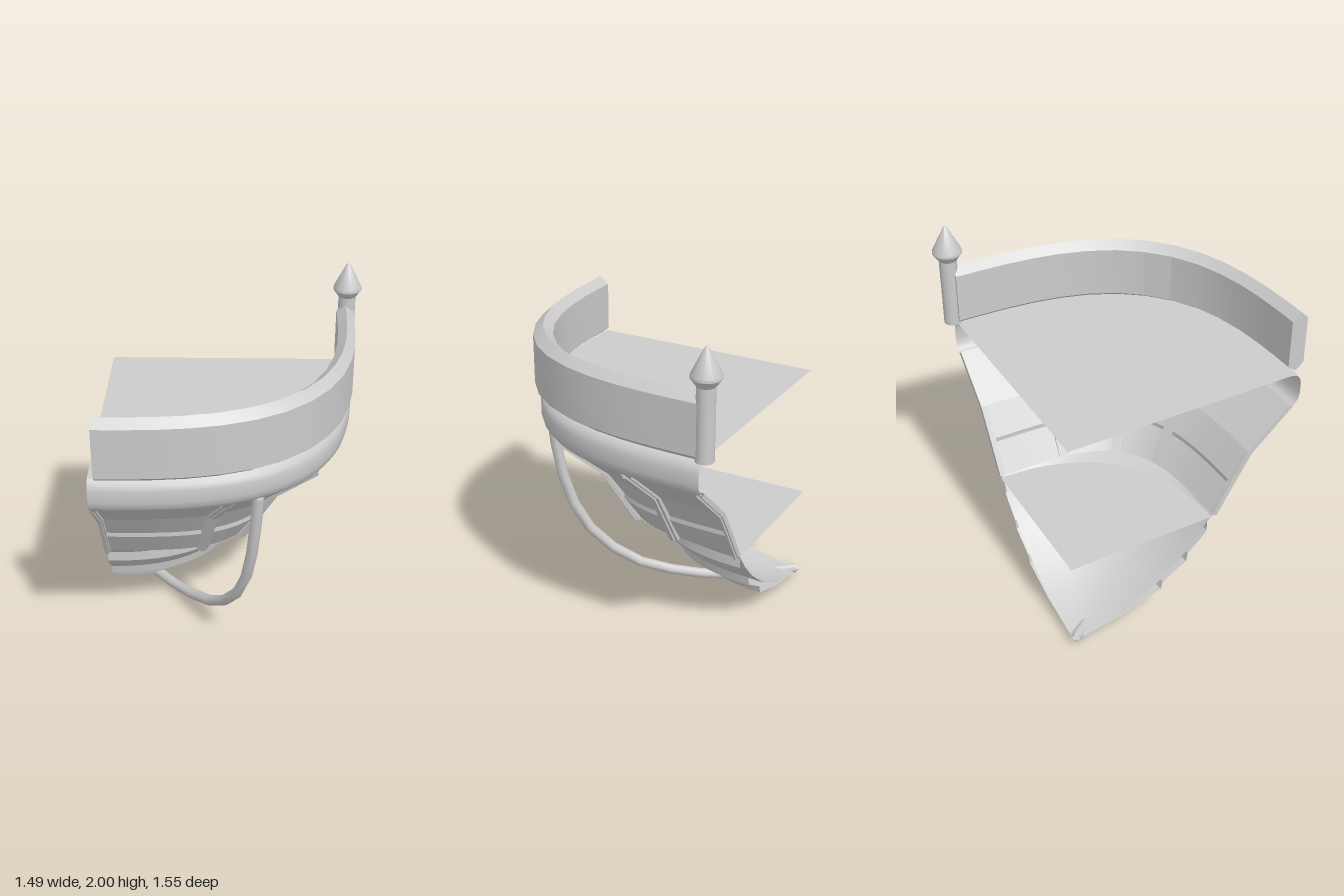
import * as THREE from 'three';
import { toCreasedNormals } from 'three/addons/utils/BufferGeometryUtils.js';

const CX = -0.73, CZ = -0.68;             // inner corner of the quarter-round bay
const material = new THREE.MeshStandardMaterial({ color: 0xcccccc, side: THREE.DoubleSide });

// How square the plan is at each height (2 = round): foot, panels, cornice and parapet
function squareness(y) {
  if (y < 0.589) return 2.3;
  return y > 1.18 ? 2.95 : THREE.MathUtils.mapLinear(y, 0.59, 1.18, 3.7, 3.05);
}

// Point of the quarter-round plan: angle a from the front axis, size r
function plan(a, r, y, kx = 1) {
  const s = Math.sin(a), c = Math.cos(a), n = squareness(y);
  const rho = r / Math.pow(Math.pow(Math.abs(s), n) + Math.pow(Math.abs(c), n), 1 / n);
  return new THREE.Vector3(CX + rho * s * kx, y, CZ + rho * c);
}

// Surface through rows of points, with optional fans closing the first and last row
function loft(rows, crease, caps = false) {
  const pos = [];
  const tri = (...p) => p.forEach(v => pos.push(v.x, v.y, v.z));
  for (let i = 0; i < rows.length - 1; i++) {
    for (let j = 0; j < rows[i].length - 1; j++) {
      const a = rows[i][j], b = rows[i][j + 1], c = rows[i + 1][j + 1], d = rows[i + 1][j];
      tri(a, b, c);
      tri(a, c, d);
    }
  }
  if (caps) {
    const s = rows[0], e = rows[rows.length - 1];
    for (let j = 1; j < s.length - 1; j++) {
      tri(s[0], s[j + 1], s[j]);
      tri(e[0], e[j], e[j + 1]);
    }
  }
  const geo = new THREE.BufferGeometry();
  geo.setAttribute('position', new THREE.Float32BufferAttribute(pos, 3));
  return toCreasedNormals(geo, crease);
}

// Sweep an [r, y] profile around the plan
function sweep(profile, { crease = 0.2, start = 0, kx = 1, caps = false, steps = 24 } = {}) {
  const rows = [];
  for (let i = 0; i <= steps; i++) {
    const a = start + (Math.PI / 2 - start) * i / steps;
    rows.push(profile.map(([r, y]) => plan(a, r, y, kx)));
  }
  return loft(rows, crease, caps);
}

export function createModel() {
  const group = new THREE.Group();
  const add = (name, geometry, parent = group) => {
    const mesh = new THREE.Mesh(geometry, material);
    mesh.name = name;
    parent.add(mesh);
    return mesh;
  };

  // Parapet wall with bevelled edges inside and out
  add('parapet', sweep([
    [1.405, 1.75], [1.455, 1.705], [1.455, 1.42], [1.41, 1.385], [1.4, 1.385], [1.355, 1.42], [1.355, 1.705], [1.405, 1.75],
  ], { start: 0.028, kx: 0.983, caps: true, steps: 14 }));

  // Floors
  add('upperFloor', sweep([[0, 1.385], [1.39, 1.385]]));
  add('lowerFloor', sweep([[0, 0.587], [0.885, 0.587]]));

  // Rounded cornice under the parapet
  add('cornice', sweep([
    [1.36, 1.385], [1.39, 1.375], [1.412, 1.35], [1.42, 1.32], [1.42, 1.25], [1.412, 1.215], [1.395, 1.19], [1.37, 1.18],
  ], { crease: 0.8 }));

  // Sloping panels in three tiers
  add('slopingPanels', sweep([[1.37, 1.18], [1.115, 0.95], [1.005, 0.785], [1.005, 0.758], [0.895, 0.59]]));

  // Stepped ribs through the panels: [top angle, bottom angle, sideways shift, width factor]
  const ribs = new THREE.Group();
  ribs.name = 'ribs';
  group.add(ribs);
  const ribPath = [[1.37, 1.18], [1.118, 0.95], [1.012, 0.775], [0.905, 0.59]];
  const ribSection = [[-0.032, -0.015], [-0.032, 0.012], [-0.014, 0.012], [-0.014, 0.022],
    [0.014, 0.022], [0.014, 0.012], [0.032, 0.012], [0.032, -0.015], [-0.032, -0.015]];
  for (const [top, bottom, shift, width] of [
    [0, 0, 0.016, 0.5], [29, 33, 0, 1], [50.5, 47.5, 0, 1], [71.5, 65, 0, 1], [90, 90, -0.016, 0.5],
  ]) {
    const rows = ribSection.map(([w, out]) => ribPath.map(([r, y]) => {
      const a = THREE.MathUtils.degToRad(THREE.MathUtils.mapLinear(y, 1.18, 0.59, top, bottom));
      const side = plan(a + 0.01, r, y).sub(plan(a - 0.01, r, y)).normalize();
      const outward = new THREE.Vector3(-side.z, -0.5, side.x);
      return plan(a, r, y).addScaledVector(side, w * width + shift).addScaledVector(outward, out);
    }));
    add('rib', loft(rows, 0.2), ribs);
  }

  // Foot: stepped mouldings over a smooth inner lining, set slightly in from the corner
  const foot = new THREE.Group();
  foot.name = 'foot';
  foot.position.set(0.01, 0, 0.013);
  group.add(foot);
  add('lowerMouldings', sweep([
    [0.885, 0.59], [0.85, 0.55], [0.85, 0.49], [0.82, 0.45], [0.73, 0.365], [0.72, 0.31],
    [0.655, 0.27], [0.57, 0.22], [0.555, 0.17], [0.33, 0.09], [0, 0.03],
  ]), foot);
  add('footLining', sweep([
    [0.87, 0.585], [0.79, 0.47], [0.68, 0.35], [0.52, 0.22], [0.3, 0.105], [0, 0.04],
  ], { crease: 0.8 }), foot);

  // Curved brace from the cornice to the foot
  const brace = new THREE.CatmullRomCurve3([
    [0.15, 1.18, 0.555], [0.135, 0.97, 0.54], [0.11, 0.73, 0.5], [0.065, 0.5, 0.425], [-0.01, 0.33, 0.32],
    [-0.12, 0.18, 0.15], [-0.28, 0.085, -0.07], [-0.47, 0.034, -0.33], [-0.715, 0.05, -0.66],
  ].map(p => new THREE.Vector3(...p)));
  add('brace', new THREE.TubeGeometry(brace, 11, 0.032, 8));
  add('braceTip', new THREE.OctahedronGeometry(0.035)).position.set(-0.712, 0.05, -0.652);
  add('braceTop', new THREE.SphereGeometry(0.032, 8, 6)).position.set(0.15, 1.175, 0.555);

  // Corner post with pointed finial
  const post = add('cornerPost', new THREE.CylinderGeometry(0.05, 0.05, 0.41, 16));
  post.position.set(0.662, 1.595, -0.697);
  const finialProfile = [[0, 1.785], [0.045, 1.785], [0.082, 1.835], [0.082, 1.85], [0.014, 1.985], [0, 2]]
    .map(([r, y]) => new THREE.Vector2(r, y));
  const finial = add('finial', toCreasedNormals(new THREE.LatheGeometry(finialProfile, 20), 0.5));
  finial.position.set(0.662, 0, -0.697);

  return group;
}
